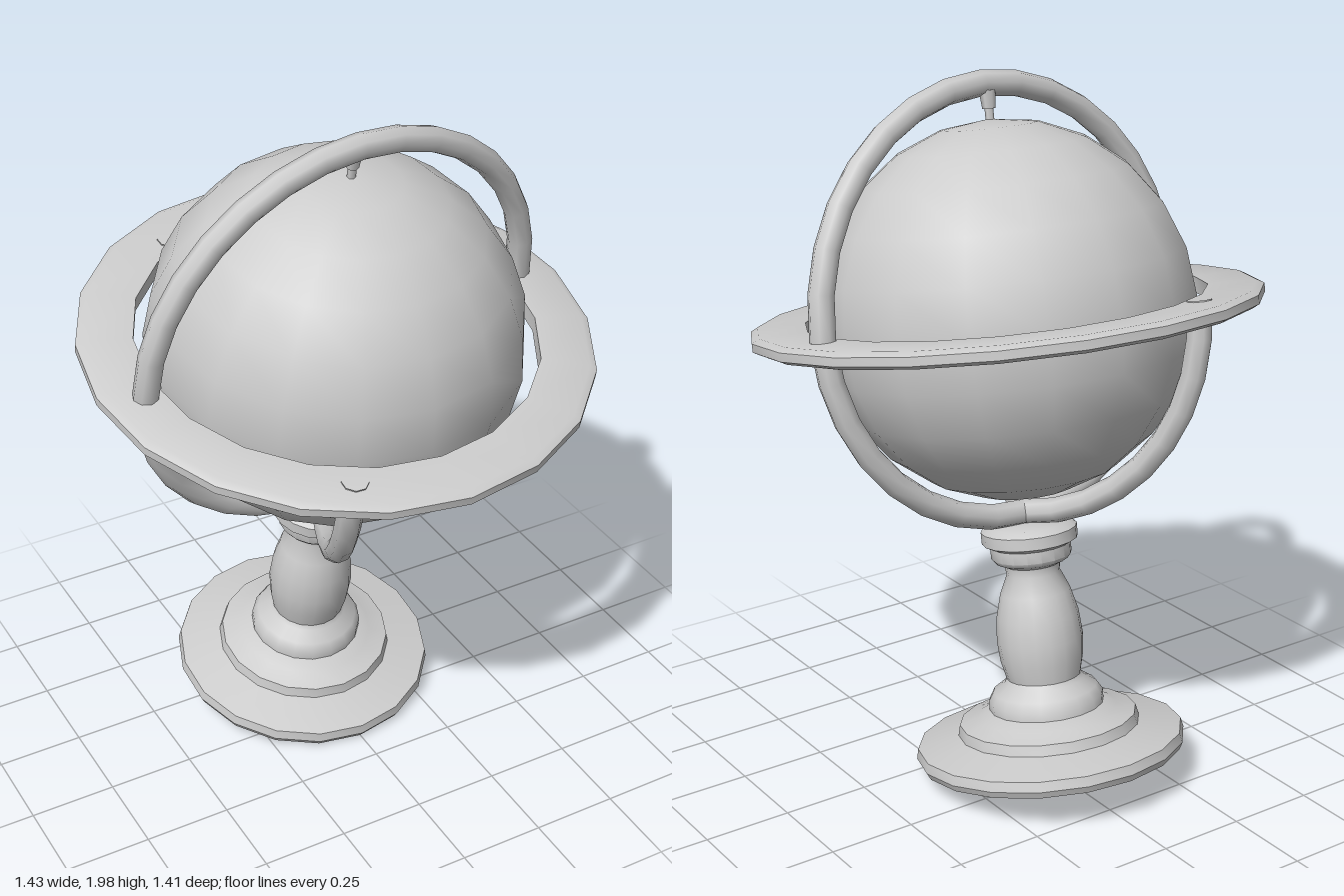
import * as THREE from 'three';
import { toCreasedNormals } from 'three/addons/utils/BufferGeometryUtils.js';

const deg = Math.PI / 180;

export function createModel() {
  const model = new THREE.Group();
  model.name = 'globe';
  const grey = new THREE.MeshStandardMaterial({ color: 0xcccccc });
  grey.name = 'plain grey';

  // Everything leans forward with the tilted base
  const tilted = new THREE.Group();
  tilted.name = 'tiltedGlobe';
  tilted.position.set(0, 0.068, -0.22);
  tilted.rotation.x = 10.2 * deg;
  model.add(tilted);

  const add = (name, geometry, parent = tilted) => {
    const mesh = new THREE.Mesh(geometry, grey);
    mesh.name = name;
    parent.add(mesh);
    return mesh;
  };
  const lathe = (points, sides) => toCreasedNormals(
    new THREE.LatheGeometry(points.map(([r, y]) => new THREE.Vector2(r, y)), sides), 38 * deg);

  // Foot: wide rim with a raised step
  add('foot', lathe([
    [0, 0], [0.378, 0], [0.388, 0.02], [0.382, 0.048], [0.33, 0.06], [0.262, 0.075],
    [0.255, 0.105], [0.2, 0.122], [0.165, 0.14], [0, 0.14],
  ], 18));

  // Turned stem: lower bead, vase and stacked collars
  add('stem', lathe([
    [0.165, 0.135], [0.165, 0.165], [0.15, 0.19], [0.115, 0.215], [0.107, 0.228],
    [0.119, 0.28], [0.124, 0.34], [0.118, 0.41], [0.1, 0.48], [0.076, 0.535],
    [0.08, 0.56], [0.105, 0.572], [0.115, 0.585], [0.115, 0.618],
    [0.137, 0.63], [0.137, 0.664], [0.115, 0.68], [0, 0.68],
  ], 18));

  // Ball
  const ball = add('ball', new THREE.SphereGeometry(0.527, 16, 12));
  ball.position.set(-0.005, 1.287, 0);

  // Flat horizon ring with softened outer edge
  const horizon = add('horizonRing', lathe([
    [0.56, -0.023], [0.695, -0.023], [0.715, -0.012], [0.715, 0.012],
    [0.695, 0.023], [0.56, 0.023], [0.56, -0.023],
  ], 20));
  horizon.position.y = 1.283;

  // Upright ring and the front and back supporting arms
  const frame = new THREE.Group();
  frame.name = 'frame';
  frame.position.set(0, 1.31, 0.012);
  tilted.add(frame);
  const R = 0.602, r = 0.036;
  add('uprightRing', new THREE.TorusGeometry(R, r, 8, 32), frame).rotation.y = 4 * deg;
  for (const [name, turn] of [['frontArm', -115], ['backArm', 115]]) {
    const arm = new THREE.TorusGeometry(R, r, 8, 9, 90 * deg);
    arm.rotateZ(-90 * deg);
    add(name, arm, frame).rotation.y = turn * deg;
  }

  // Pin joining the ball to the upright ring
  const pin = add('topPin', new THREE.CylinderGeometry(0.012, 0.012, 0.1, 6));
  pin.position.set(-0.01, 1.84, 0);
  const pinHead = add('pinHead', new THREE.CylinderGeometry(0.023, 0.018, 0.05, 6));
  pinHead.position.set(-0.01, 1.867, 0);

  return model;
}
